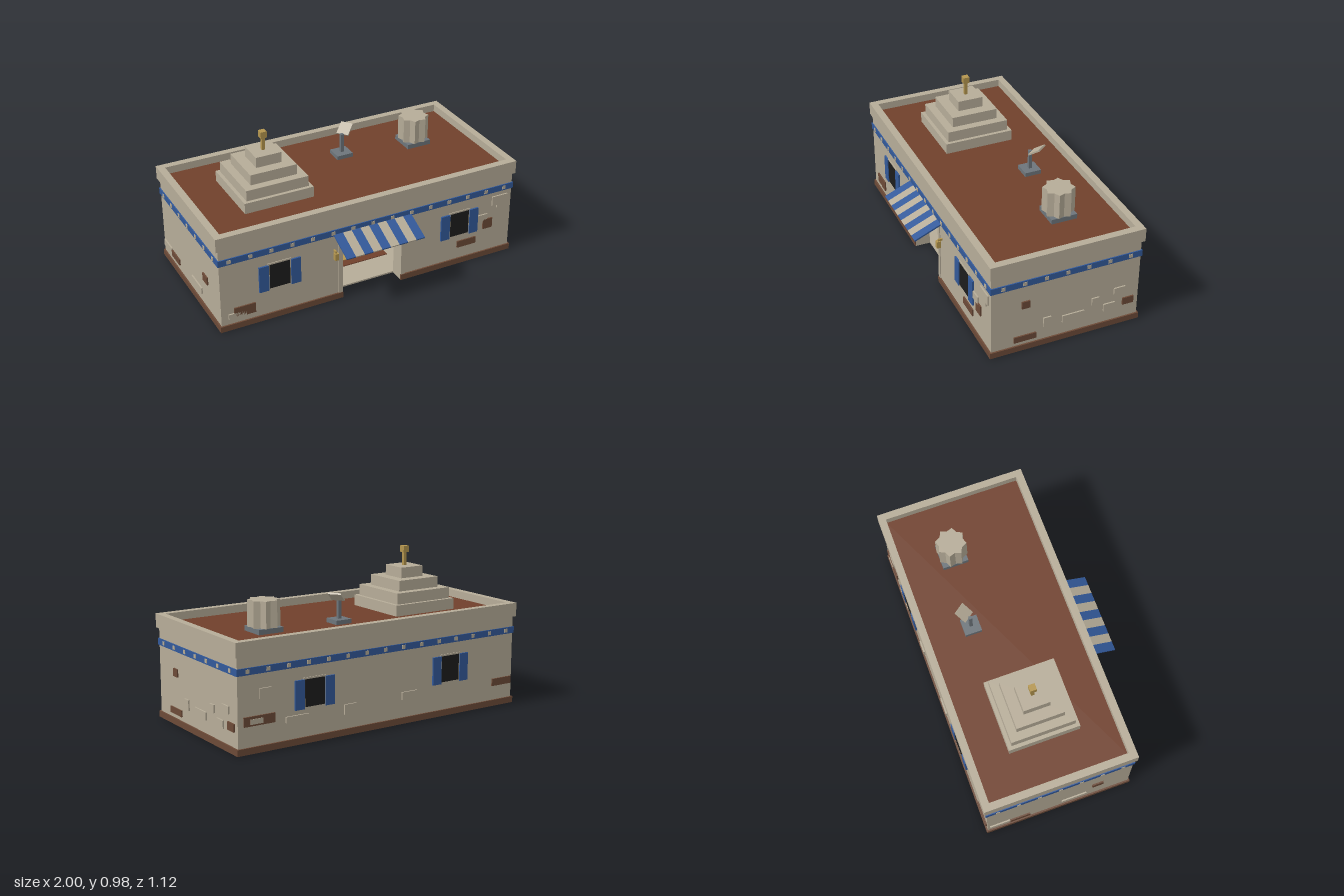
import * as THREE from 'three';

const mat = (name, color) => {
  const m = new THREE.MeshStandardMaterial({ color });
  m.name = name;
  return m;
};

export function createModel() {
  const plaster = mat('plaster', 0xb6ac98);
  const clay = mat('roofClay', 0x70402b);
  const brown = mat('brownBrick', 0x6c4a37);
  const blue = mat('bluePaint', 0x32599a);
  const gold = mat('brass', 0xb3954e);
  const glass = mat('darkGlass', 0x1c1c1c);
  const metal = mat('greyMetal', 0x6d757b);

  const model = new THREE.Group();
  model.name = 'flatRoofHouse';

  // Box given by its limits on each axis
  const box = (name, m, x0, x1, y0, y1, z0, z1, parent = model) => {
    const mesh = new THREE.Mesh(new THREE.BoxGeometry(x1 - x0, y1 - y0, z1 - z0), m);
    mesh.position.set((x0 + x1) / 2, (y0 + y1) / 2, (z0 + z1) / 2);
    mesh.name = name;
    parent.add(mesh);
    return mesh;
  };

  const X = 0.985, ZF = 0.385, ZB = -0.545, ZC = -0.08;

  // Hollow shell with a doorway in the front wall
  box('backWall', plaster, -X, X, 0, 0.56, ZB, ZB + 0.09);
  for (const s of [-1, 1]) {
    const pair = (a, b) => (s > 0 ? [a, b] : [-b, -a]);
    box('sideWall', plaster, ...pair(X - 0.09, X), 0, 0.56, ZB + 0.09, ZF - 0.09);
    box('frontWall', plaster, ...pair(0.2, X), 0, 0.56, ZF - 0.09, ZF);
    box('doorPost', plaster, ...pair(0.2, 0.226), 0, 0.43, ZF, ZF + 0.006);
    box('frontPlinth', brown, ...pair(0.2, 0.995), 0.002, 0.04, ZF, ZF + 0.01);
    box('sidePlinth', brown, ...pair(X, 0.995), 0.002, 0.04, ZB, ZF);
    box('sideParapet', plaster, ...pair(0.955, 1), 0.555, 0.64, -0.515, 0.35);
    box('sideBand', blue, ...pair(X, 0.992), 0.45, 0.49, ZB, ZF);
  }
  box('lintel', plaster, -0.2, 0.2, 0.43, 0.56, ZF - 0.09, ZF);
  box('backPlinth', brown, -0.995, 0.995, 0.002, 0.04, ZB - 0.01, ZB);
  box('frontBand', blue, -0.992, 0.992, 0.45, 0.49, ZF, ZF + 0.007);
  box('backBand', blue, -0.992, 0.992, 0.45, 0.49, ZB - 0.007, ZB);
  box('frontParapet', plaster, -1, 1, 0.555, 0.64, 0.35, 0.397);
  box('backParapet', plaster, -1, 1, 0.555, 0.64, -0.56, -0.515);
  box('roof', clay, -0.955, 0.955, 0.556, 0.592, -0.515, 0.35);

  // Floor and rug inside
  box('floor', plaster, -X + 0.09, X - 0.09, 0, 0.01, ZB + 0.09, ZF - 0.09);
  box('rug', clay, -0.26, 0.26, 0.01, 0.015, -0.27, 0.11);
  box('rugCentre', gold, -0.18, 0.18, 0.015, 0.019, -0.21, 0.055);

  // Plate on a wall: u runs along x for front and back, along z for the sides
  const plate = (name, m, side, u0, u1, y0, y1, d = 0.009) => {
    if (side === 'front') return box(name, m, u0, u1, y0, y1, ZF - 0.002, ZF + d);
    if (side === 'back') return box(name, m, u0, u1, y0, y1, ZB - d, ZB + 0.002);
    if (side === 'left') return box(name, m, X - 0.002, X + d, y0, y1, u0, u1);
    return box(name, m, -X - d, -X + 0.002, y0, y1, u0, u1);
  };

  // Small square tiles along the painted band
  for (const side of ['front', 'back', 'left', 'right']) {
    const long = side === 'front' || side === 'back';
    const n = long ? 7 : 3;
    for (let i = -n; i <= n; i++) {
      const u = i * 0.132 + (long ? 0 : ZC);
      plate('bandTile', plaster, side, u - 0.012, u + 0.012, 0.459, 0.482, 0.01);
    }
  }

  // Shuttered windows
  for (const [side, centre] of [['front', 0.61], ['back', 0.488]]) {
    for (const c of [-centre, centre]) {
      plate('windowFrame', plaster, side, c - 0.075, c + 0.075, 0.203, 0.383, 0.005);
      plate('windowPane', glass, side, c - 0.065, c + 0.065, 0.213, 0.373, 0.007);
      plate('shutter', blue, side, c - 0.133, c - 0.071, 0.203, 0.374, 0.011);
      plate('shutter', blue, side, c + 0.071, c + 0.133, 0.203, 0.374, 0.011);
    }
  }

  // Exposed bricks and raised plaster patches
  const B = brown, P = plaster;
  const bricks = [
    ['front', B, -0.905, -0.77, 0.08, 0.145], ['front', P, -0.94, -0.83, 0.075, 0.11],
    ['front', B, 0.6, 0.735, 0.12, 0.165], ['front', B, 0.785, 0.852, 0.205, 0.272],
    ['front', P, 0.742, 0.812, 0.262, 0.31], ['front', P, 0.845, 0.955, 0.355, 0.42],
    ['front', P, 0.88, 0.93, 0.333, 0.355],
    ['left', B, 0.107, 0.247, 0.066, 0.105], ['left', B, 0.15, 0.2, 0.297, 0.345],
    ['left', B, -0.515, -0.443, 0.13, 0.177], ['left', P, 0.015, 0.063, 0.126, 0.19],
    ['left', P, -0.195, -0.056, 0.12, 0.168], ['left', P, -0.29, -0.243, 0.186, 0.234],
    ['left', P, -0.393, -0.32, 0.12, 0.168], ['left', P, -0.456, -0.384, 0.22, 0.264],
    ['right', B, 0.135, 0.205, 0.22, 0.27], ['right', P, -0.06, 0.1, 0.095, 0.135],
    ['right', B, -0.4, -0.27, 0.08, 0.12], ['right', P, -0.53, -0.4, 0.085, 0.13],
    ['back', B, 0.75, 0.95, 0.16, 0.215], ['back', P, 0.83, 0.91, 0.17, 0.2, 0.012],
    ['back', P, 0.77, 0.85, 0.305, 0.365], ['back', P, 0.205, 0.285, 0.125, 0.185],
    ['back', P, -0.235, -0.125, 0.15, 0.195], ['back', P, 0.53, 0.68, 0.14, 0.175],
    ['back', B, -0.975, -0.825, 0.13, 0.175],
  ];
  for (const [side, m, ...r] of bricks) plate(m === B ? 'brick' : 'plasterPatch', m, side, ...r);

  // Striped awning sloping down to the front
  const awning = new THREE.Group();
  awning.name = 'awning';
  const len = Math.hypot(0.167, 0.072), w = 0.52 / 9;
  for (let i = 0; i < 9; i++) {
    const x = -0.26 + i * w;
    box('awningStripe', i % 2 ? plaster : blue, x, x + w, -0.005, 0.005, 0, len, awning);
  }
  awning.position.set(0, 0.457, 0.392);
  awning.rotation.x = Math.atan2(0.072, 0.167);
  model.add(awning);

  // Wall lanterns beside the door
  for (const x of [-0.255, 0.255]) {
    box('lantern', gold, x - 0.012, x + 0.012, 0.297, 0.342, 0.397, 0.423);
    box('lanternBracket', gold, x - 0.005, x + 0.005, 0.342, 0.355, ZF, 0.412);
  }

  // Stepped tower with a brass finial
  const tx = -0.488;
  const tiers = [[0.222, 0.59, 0.66], [0.2, 0.66, 0.728], [0.149, 0.728, 0.794], [0.082, 0.794, 0.86]];
  for (const [h, y0, y1] of tiers) box('towerTier', plaster, tx - h, tx + h, y0, y1, ZC - h, ZC + h);
  box('finialPost', gold, tx - 0.01, tx + 0.01, 0.86, 0.942, ZC - 0.01, ZC + 0.01);
  box('finialCube', gold, tx - 0.02, tx + 0.02, 0.942, 0.982, ZC - 0.02, ZC + 0.02);

  // Tilted panel on a post
  box('panelBase', metal, 0.065, 0.172, 0.59, 0.618, -0.3, -0.195);
  box('panelPost', metal, 0.11, 0.13, 0.618, 0.74, -0.258, -0.238);
  const panel = box('panel', plaster, -0.043, 0.043, -0.005, 0.005, -0.04, 0.04);
  panel.position.set(0.156, 0.756, -0.275);
  panel.rotation.set(0, 0.65, 0.6);

  // Fluted water tank on a square base
  box('tankBase', metal, 0.527, 0.69, 0.59, 0.622, -0.283, -0.12);
  const star = new THREE.Shape();
  for (let i = 0; i < 16; i++) {
    const a = (i + 1) * Math.PI / 8, r = i % 2 ? 0.076 : 0.096;
    star[i ? 'lineTo' : 'moveTo'](r * Math.cos(a), r * Math.sin(a));
  }
  star.closePath();
  const tank = new THREE.Mesh(
    new THREE.ExtrudeGeometry(star, { depth: 0.158, bevelEnabled: false }), plaster);
  tank.name = 'waterTank';
  tank.rotation.x = -Math.PI / 2;
  tank.position.set(0.608, 0.622, -0.2);
  model.add(tank);

  return model;
}
